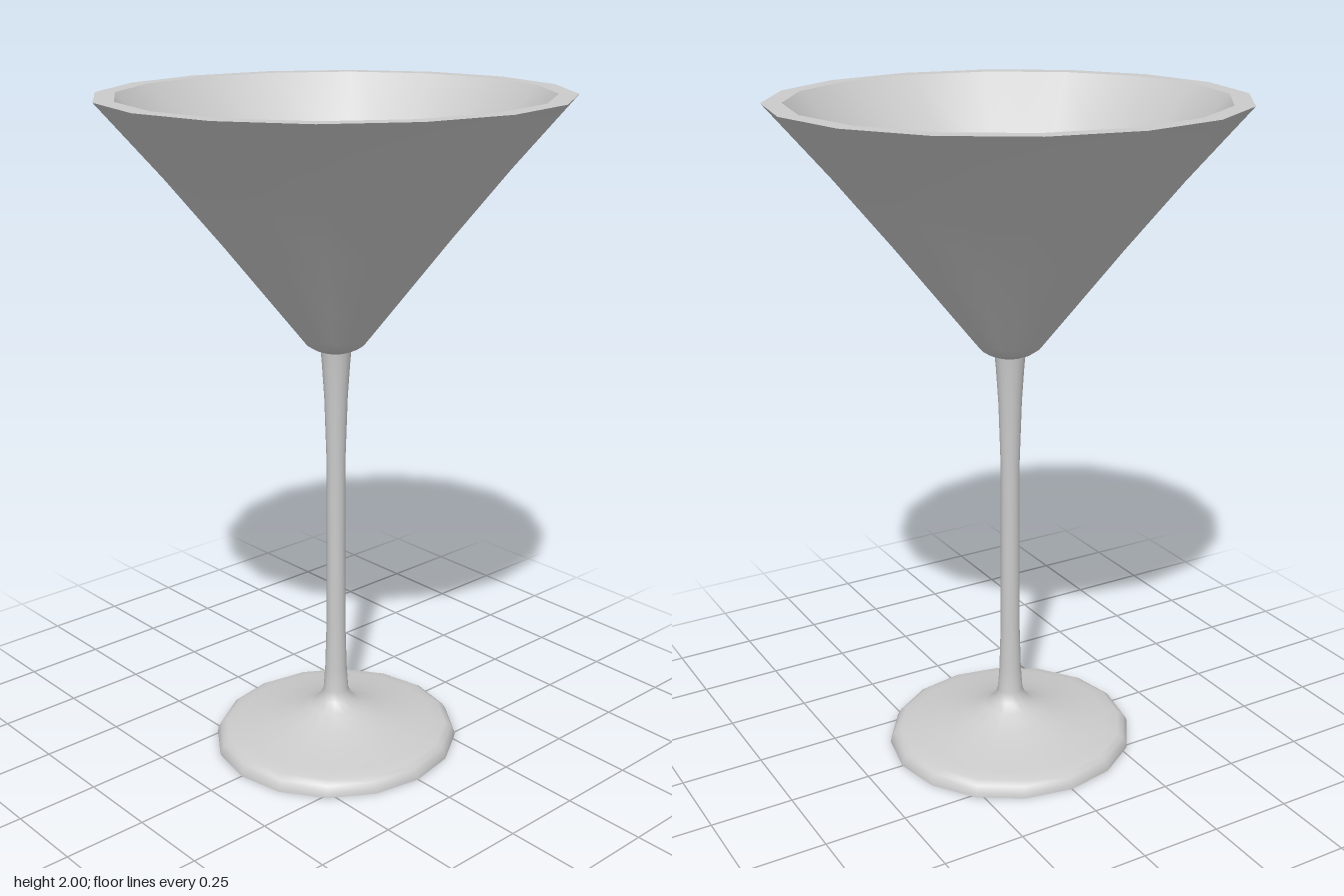
import * as THREE from 'three';

const SIDES = 16;
const DEPTH = 1.038; // the glass is slightly wider front to back

export function createModel() {
  const group = new THREE.Group();
  const material = new THREE.MeshStandardMaterial({ color: 0xcccccc });

  // Turns a list of [radius, height] into a named part; separate parts keep sharp edges between them
  function turn(name, profile) {
    const points = profile.map(([r, y]) => new THREE.Vector2(r, y));
    const geometry = new THREE.LatheGeometry(points, SIDES);
    geometry.scale(1, 1, DEPTH);
    const mesh = new THREE.Mesh(geometry, material);
    mesh.name = name;
    group.add(mesh);
  }

  // Flat underside of the foot
  turn('footUnderside', [[0, 0], [0.37, 0]]);

  // Foot sweeping up into the slim stem
  turn('footAndStem', [
    [0.37, 0], [0.368, 0.015], [0.358, 0.033], [0.34, 0.044], [0.305, 0.05],
    [0.22, 0.065], [0.14, 0.086], [0.08, 0.112], [0.05, 0.135], [0.038, 0.165],
    [0.033, 0.24], [0.029, 0.38], [0.028, 0.65], [0.028, 0.93],
    [0.034, 1.12], [0.041, 1.23], [0.044, 1.265],
  ]);

  // Flared outside of the bowl
  turn('bowlOutside', [
    [0.044, 1.265], [0.066, 1.274], [0.085, 1.287], [0.103, 1.31],
    [0.18, 1.41], [0.32, 1.592], [0.48, 1.793], [0.655, 2],
  ]);

  // Flat rim
  turn('rim', [[0.655, 2], [0.6, 2]]);

  // Inside of the bowl with a flat floor
  turn('bowlInside', [
    [0.6, 2], [0.43, 1.796], [0.3, 1.632], [0.225, 1.535],
    [0.215, 1.526], [0.2, 1.523], [0, 1.523],
  ]);

  return group;
}
